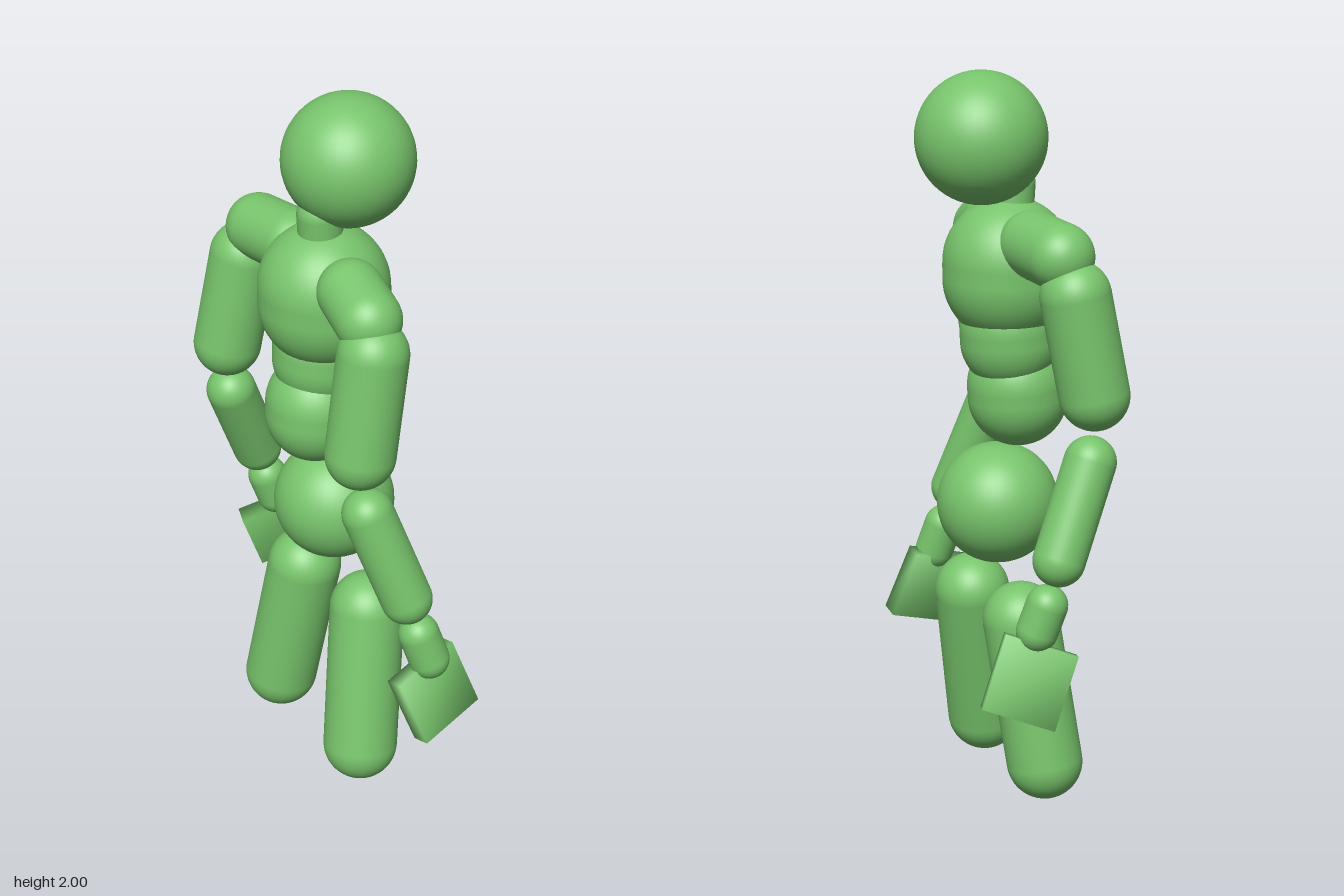
import * as THREE from 'three';
import { mergeVertices } from 'three/addons/utils/BufferGeometryUtils.js';

const green = new THREE.MeshStandardMaterial({ color: 0x78c46c });
green.name = 'leaf green';
const V = (p) => new THREE.Vector3(...p);

// Rounded limb whose end spheres are centred on a and b
function capsule(name, r, a, b) {
  const from = V(a), to = V(b), axis = to.clone().sub(from);
  const mesh = new THREE.Mesh(new THREE.CapsuleGeometry(r, axis.length(), 16, 40), green);
  mesh.name = name;
  mesh.position.copy(from).add(to).multiplyScalar(0.5);
  mesh.quaternion.setFromUnitVectors(new THREE.Vector3(0, 1, 0), axis.normalize());
  return mesh;
}

function ball(name, r, c) {
  const mesh = new THREE.Mesh(new THREE.SphereGeometry(r, 48, 32), green);
  mesh.name = name;
  mesh.position.set(...c);
  return mesh;
}

// Flat block hand with softened shading; down and across give its pose
function hand(name, c, down, across) {
  let geo = new THREE.BoxGeometry(0.2, 0.206, 0.055);
  geo.deleteAttribute('normal');
  geo.deleteAttribute('uv');
  geo = mergeVertices(geo);
  geo.computeVertexNormals();
  const y = V(down).normalize().negate();
  const x = V(across).projectOnPlane(y).normalize();
  const z = x.clone().cross(y);
  const mesh = new THREE.Mesh(geo, green);
  mesh.name = name;
  mesh.quaternion.setFromRotationMatrix(new THREE.Matrix4().makeBasis(x, y, z));
  mesh.position.set(...c);
  return mesh;
}

export function createModel() {
  const model = new THREE.Group();
  model.name = 'posedFigure';

  // Head and torso
  model.add(
    ball('head', 0.177, [-0.013, 1.823, -0.045]),
    capsule('neck', 0.06, [-0.02, 1.62, 0.045], [-0.02, 1.695, 0.05]),
    capsule('chest', 0.177, [-0.02, 1.442, 0.035], [-0.02, 1.483, 0.035]),
    capsule('upperAbdomen', 0.135, [-0.026, 1.27, 0.037], [-0.026, 1.3, 0.035]),
    capsule('lowerAbdomen', 0.137, [-0.023, 1.11, 0.065], [-0.023, 1.14, 0.063]),
    ball('pelvis', 0.167, [-0.011, 0.812, 0.008])
  );

  // Each limb part: name, radius, upper end, lower end
  const limbs = {
    left: [
      ['Shoulder', 0.088, [0.15, 1.552, 0.096], [0.253, 1.525, 0.13]],
      ['UpperArm', 0.094, [0.288, 1.445, 0.145], [0.288, 1.165, 0.187]],
      ['Forearm', 0.07, [0.31, 0.99, 0.18], [0.395, 0.733, 0.117]],
      ['Wrist', 0.056, [0.417, 0.617, 0.09], [0.438, 0.536, 0.07]],
      ['Thigh', 0.105, [0.13, 0.515, 0.012], [0.183, 0.107, 0.085]],
    ],
    right: [
      ['Shoulder', 0.09, [-0.16, 1.556, 0.022], [-0.3, 1.547, 0.017]],
      ['UpperArm', 0.094, [-0.345, 1.45, 0.035], [-0.37, 1.185, 0.08]],
      ['Forearm', 0.07, [-0.39, 1.013, 0.055], [-0.413, 0.768, -0.055]],
      ['Wrist', 0.056, [-0.417, 0.653, -0.095], [-0.405, 0.582, -0.117]],
      ['Thigh', 0.105, [-0.152, 0.515, -0.005], [-0.22, 0.115, 0.03]],
    ],
  };
  for (const [side, parts] of Object.entries(limbs)) {
    for (const [part, r, a, b] of parts) model.add(capsule(side + part, r, a, b));
  }

  // Hands
  model.add(
    hand('leftHand', [0.448, 0.427, 0.06], [0.055, -0.196, -0.055], [0, 0.064, -0.18]),
    hand('rightHand', [-0.42, 0.451, -0.15], [-0.01, -0.19, -0.08], [0.105, 0.063, -0.18])
  );
  return model;
}
